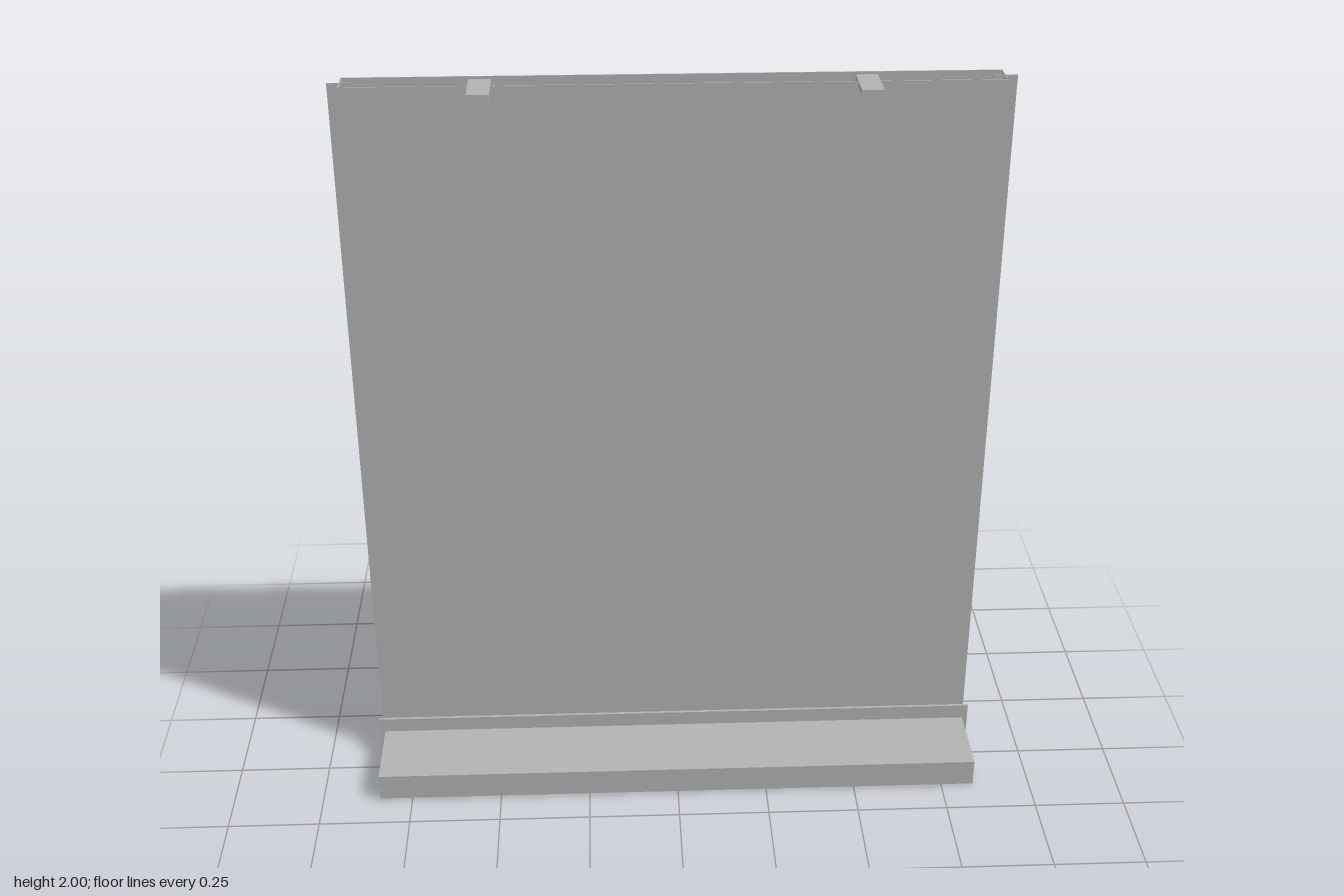
import * as THREE from 'three';

export function createModel() {
  const group = new THREE.Group();
  const grey = new THREE.MeshStandardMaterial({ color: 0xb2b2b2, side: THREE.DoubleSide });
  grey.name = 'plain grey';

  // Box given by its minimum and maximum corners
  const box = (name, [x0, y0, z0], [x1, y1, z1]) => {
    const mesh = new THREE.Mesh(new THREE.BoxGeometry(x1 - x0, y1 - y0, z1 - z0), grey);
    mesh.position.set((x0 + x1) / 2, (y0 + y1) / 2, (z0 + z1) / 2);
    mesh.name = name;
    group.add(mesh);
  };

  // Hollow panel, open at the top
  const t = 0.003;
  box('frontSheet', [-0.82, 0, -0.07 - t], [0.82, 2, -0.07]);
  box('backSheet', [-0.82, 0, -0.15], [0.82, 2, -0.15 + t]);
  box('panelBottom', [-0.82, 0, -0.15], [0.82, t, -0.07]);

  for (const s of [-1, 1]) {
    const side = s < 0 ? 'right' : 'left';
    const span = (name, a, b, y0, y1, z0, z1) =>
      box(side + name, [Math.min(s * a, s * b), y0, z0], [Math.max(s * a, s * b), y1, z1]);
    // Side wall and the narrow flange running up its middle
    span('SideWall', 0.82 - t, 0.82, 0, 2, -0.15, -0.07);
    span('SideFlange', 0.79, 0.85, 0, 2, -0.109, -0.106);
    // Hanging clip through the top edge
    span('TopClip', 0.45, 0.505, 1.986, 2, -0.125, 0);
  }

  // Base ledge with its upright rear plate
  box('baseLedge', [-0.84, 0.004, -0.11], [0.84, 0.08, 0.15]);
  box('basePlate', [-0.855, 0.004, -0.07], [0.855, 0.122, -0.062]);

  return group;
}
